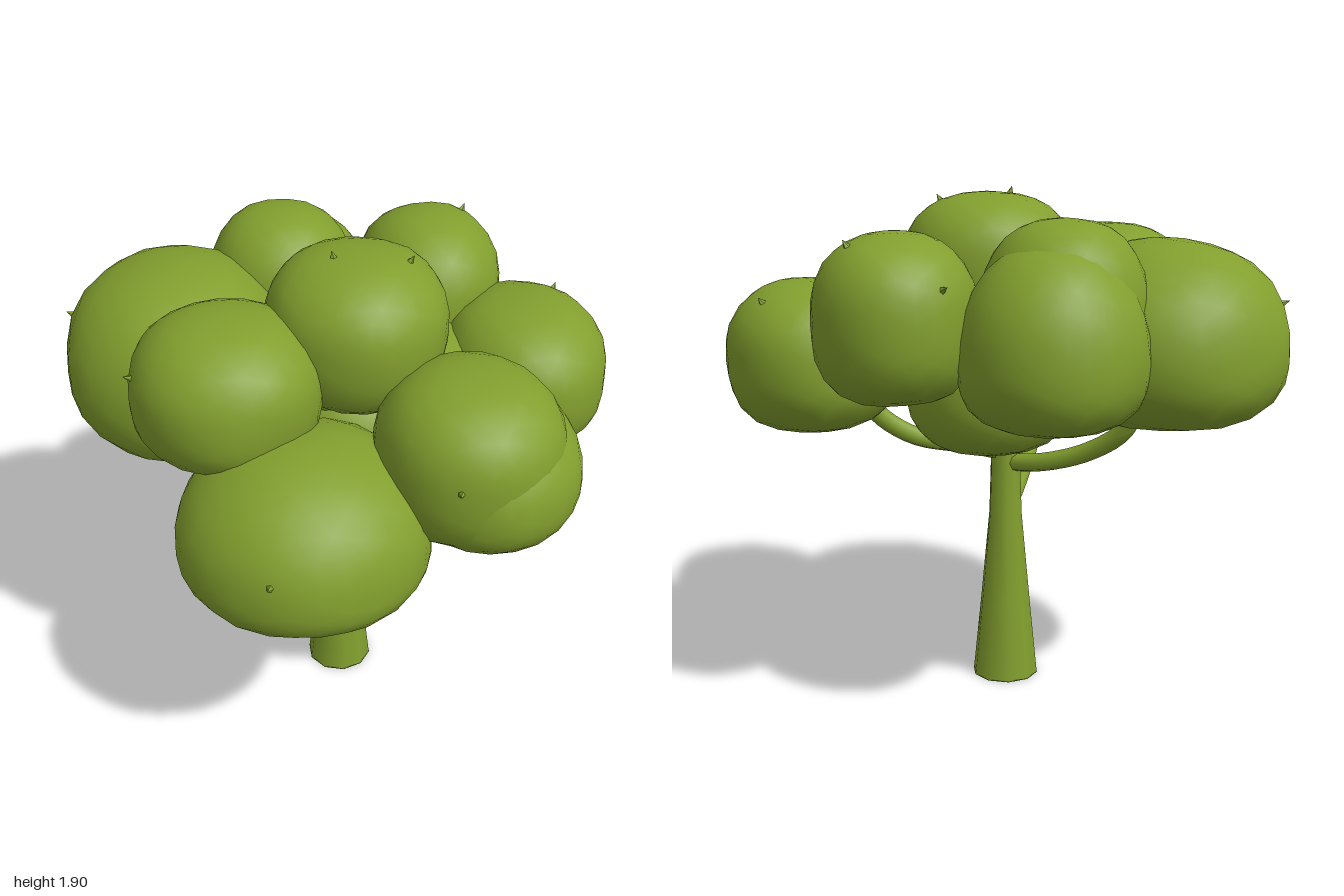
import * as THREE from 'three';
import { mergeVertices } from 'three/addons/utils/BufferGeometryUtils.js';

const green = new THREE.MeshStandardMaterial({ color: 0x829f2e });
green.name = 'leafGreen';

// name, centre x y z, radius x, radius z, height above centre, depth below centre, squareness of the dome
const CLUMPS = [
  ['frontClump', -0.21, 1.07, 0.50, 0.44, 0.43, 0.36, 0.205, 2.2],
  ['frontLeftClump', 0.36, 1.32, 0.45, 0.325, 0.34, 0.30, 0.27, 2.6],
  ['leftClump', 0.69, 1.30, -0.09, 0.31, 0.36, 0.28, 0.26, 2.5],
  ['backLeftClump', 0.40, 1.48, -0.47, 0.28, 0.32, 0.29, 0.28, 2.4],
  ['backClump', -0.16, 1.50, -0.51, 0.28, 0.29, 0.31, 0.30, 2.4],
  ['rightClump', -0.57, 1.35, -0.27, 0.43, 0.48, 0.38, 0.28, 2.15],
  ['frontRightClump', -0.43, 1.49, 0.20, 0.33, 0.33, 0.27, 0.24, 2.4],
  ['topClump', 0.04, 1.62, 0.04, 0.32, 0.33, 0.26, 0.28, 2.4],
  ['innerClump', 0.04, 1.18, -0.02, 0.315, 0.315, 0.28, 0.265, 2.3],
  ['lowerBackClump', -0.11, 1.36, -0.61, 0.32, 0.33, 0.38, 0.24, 2.1],
  ['lowerFrontLeftClump', 0.42, 1.25, 0.44, 0.33, 0.36, 0.28, 0.21, 2.2],
  ['coreClump', 0.05, 1.41, -0.14, 0.45, 0.38, 0.10, 0.11, 2.3],
];

// Point on a clump for a direction: round in plan, domed above, flatter below, slightly lumpy
function clumpPoint(d, [, x, y, z, rx, rz, up, down, dome], seed) {
  const p = d.y > 0 ? dome : 2.9;
  const h = Math.hypot(d.x, d.z);
  const k = 1 / Math.pow(Math.pow(h, p) + Math.pow(Math.abs(d.y), p), 1 / p);
  const lump = 1 - 0.018 * Math.sin(d.x * 5 + seed * 2.1) * Math.cos(d.z * 4.3 - seed) * Math.sin(d.y * 4 + seed * 1.3);
  const s = k * lump;
  return new THREE.Vector3(x + d.x * s * rx, y + d.y * s * (d.y > 0 ? up : down), z + d.z * s * rz);
}

function makeClump(spec, seed) {
  let geo = new THREE.IcosahedronGeometry(1, 4);
  geo.deleteAttribute('uv');
  geo.deleteAttribute('normal');
  geo = mergeVertices(geo, 1e-4);
  const pos = geo.attributes.position;
  const d = new THREE.Vector3();
  for (let i = 0; i < pos.count; i++) {
    d.fromBufferAttribute(pos, i).normalize();
    const q = clumpPoint(d, spec, seed);
    pos.setXYZ(i, q.x, q.y, q.z);
  }
  geo.computeVertexNormals();
  const mesh = new THREE.Mesh(geo, green);
  mesh.name = spec[0];
  return mesh;
}

// Tiny leaf tips poking out of the foliage: clump index and direction
const TIPS = [
  [0, -0.35, 0.3, 0.9], [1, -0.3, 0.2, 0.9], [2, 0.5, 0.75, -0.5],
  [3, 0.5, 0.8, -0.3], [3, -0.5, 0.4, -0.75], [5, -0.9, 0.4, -0.2],
  [6, -0.9, 0.3, 0.1], [7, -0.25, 0.95, 0.05], [7, 0.5, 0.8, 0.1],
];

function makeTip([index, x, y, z]) {
  const d = new THREE.Vector3(x, y, z).normalize();
  const tip = new THREE.Mesh(new THREE.ConeGeometry(0.022, 0.05, 5), green);
  tip.position.copy(clumpPoint(d, CLUMPS[index], index + 1));
  tip.quaternion.setFromUnitVectors(new THREE.Vector3(0, 1, 0), d);
  tip.name = 'leafTip';
  return tip;
}

const BRANCHES = [
  ['frontBranch', [[-0.02, 0.66, 0.0], [-0.07, 0.70, 0.13], [-0.13, 0.77, 0.3], [-0.18, 0.87, 0.43], [-0.2, 0.98, 0.5]]],
  ['backBranch', [[-0.02, 0.86, 0.0], [-0.14, 0.88, -0.1], [-0.30, 0.94, -0.2], [-0.42, 1.04, -0.29], [-0.47, 1.17, -0.33]]],
  ['leftBranch', [[-0.02, 0.90, 0.0], [0.13, 0.94, -0.03], [0.32, 0.98, -0.05], [0.45, 1.06, -0.06], [0.52, 1.15, -0.07]]],
];

export function createModel() {
  const tree = new THREE.Group();
  tree.name = 'tree';

  // Trunk, tapering upward and closed at the base
  const profile = [[0, 0], [0.13, 0], [0.128, 0.005], [0.098, 0.3], [0.064, 0.66], [0.056, 0.92], [0.045, 1.15], [0, 1.16]];
  const trunk = new THREE.Mesh(
    new THREE.LatheGeometry(profile.map(([r, y]) => new THREE.Vector2(r, y)), 10), green);
  trunk.position.x = -0.02;
  trunk.name = 'trunk';
  tree.add(trunk);

  // Curved branches
  for (const [name, points] of BRANCHES) {
    const curve = new THREE.CatmullRomCurve3(points.map((p) => new THREE.Vector3(...p)));
    const branch = new THREE.Mesh(new THREE.TubeGeometry(curve, 16, 0.035, 8), green);
    branch.name = name;
    tree.add(branch);
  }

  // Foliage
  const foliage = new THREE.Group();
  foliage.name = 'foliage';
  CLUMPS.forEach((spec, i) => foliage.add(makeClump(spec, i + 1)));
  TIPS.forEach((t) => foliage.add(makeTip(t)));
  tree.add(foliage);
  return tree;
}
